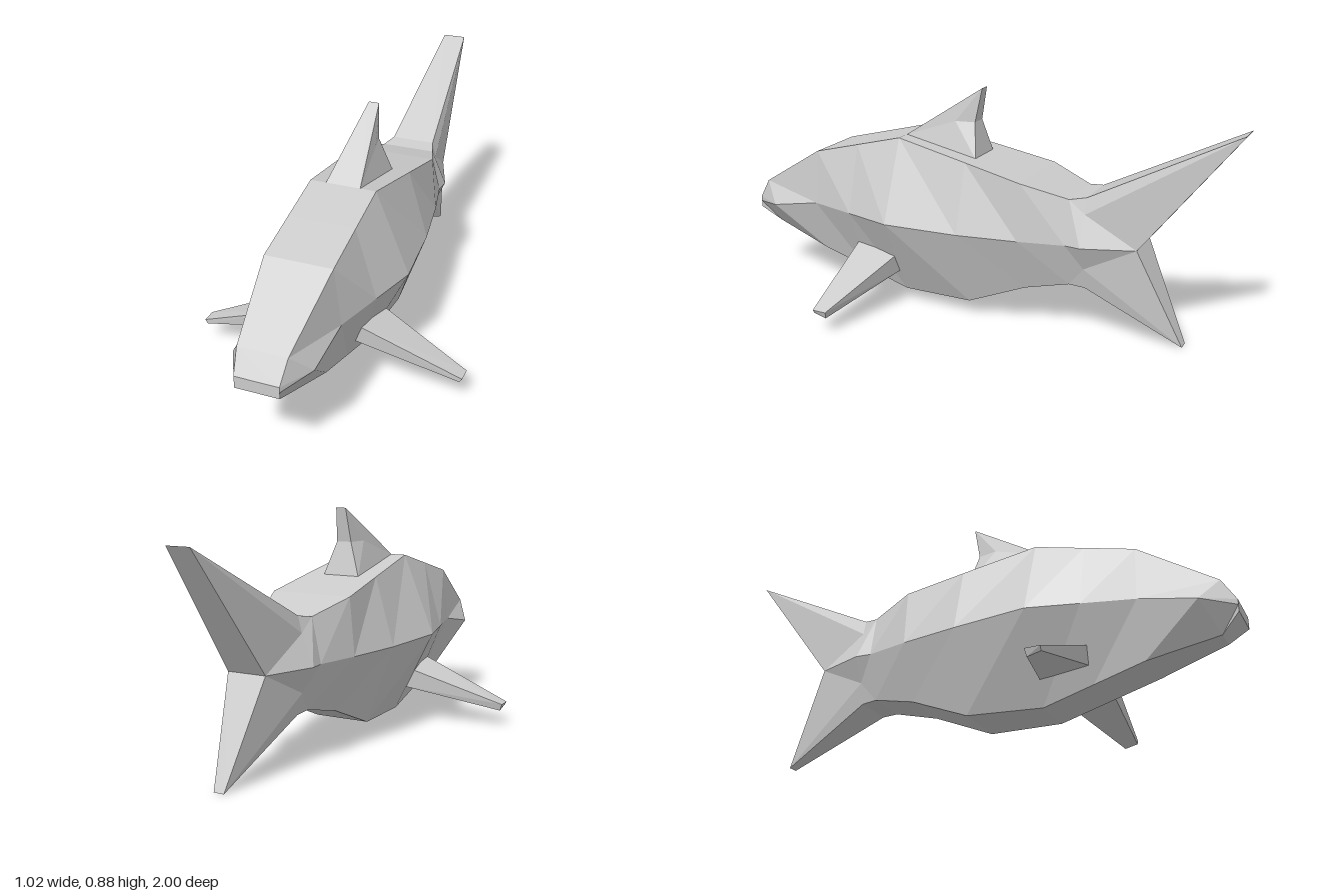
import * as THREE from 'three';
import { ConvexGeometry } from 'three/addons/geometries/ConvexGeometry.js';

const material = new THREE.MeshStandardMaterial({ color: 0xcccccc, flatShading: true, side: THREE.DoubleSide });

// Symmetric solid from its +x half. faces: corner lists of the side surface.
// seam: outline walked front > top > back > bottom, bridged across to the mirrored half.
function mirroredSolid(name, pts, faces, seam) {
  const v = pts.map(p => new THREE.Vector3(...p));
  const m = v.map(p => new THREE.Vector3(-p.x, p.y, p.z));
  const out = [];
  const tri = (a, b, c) => out.push(...a.toArray(), ...b.toArray(), ...c.toArray());
  for (const f of faces) {
    for (let i = 1; i < f.length - 1; i++) {
      let [a, b, c] = [f[0], f[i], f[i + 1]];
      const n = v[b].clone().sub(v[a]).cross(v[c].clone().sub(v[a]));
      if (n.x < 0) [b, c] = [c, b];
      tri(v[a], v[b], v[c]);
      tri(m[a], m[c], m[b]);
    }
  }
  seam.forEach((a, i) => {
    const b = seam[(i + 1) % seam.length];
    tri(v[a], v[b], m[b]);
    tri(v[a], m[b], m[a]);
  });
  const geo = new THREE.BufferGeometry();
  geo.setAttribute('position', new THREE.Float32BufferAttribute(out, 3));
  geo.computeVertexNormals();
  const mesh = new THREE.Mesh(geo, material);
  mesh.name = name;
  return mesh;
}

// Hexagonal body: each station has a top, middle and bottom corner
function makeBody() {
  const stations = [
    [[0.08, 0.33, 1], [0.08, 0.31, 1], [0.08, 0.285, 1]],
    [[0.09, 0.41, 0.95], [0.145, 0.33, 0.88], [0.045, 0.225, 0.93]],
    [[0.125, 0.58, 0.67], [0.15, 0.37, 0.67], [0.09, 0.16, 0.67]],
    [[0.125, 0.63, 0.48], [0.2, 0.37, 0.48], [0.09, 0.105, 0.48]],
    [[0.125, 0.68, 0.29], [0.25, 0.37, 0.29], [0.09, 0.05, 0.29]],
    [[0.145, 0.625, 0], [0.22, 0.365, 0], [0.11, 0.06, 0]],
    [[0.16, 0.58, -0.23], [0.18, 0.365, -0.23], [0.1, 0.155, -0.23]],
    [[0.105, 0.53, -0.4], [0.14, 0.365, -0.4], [0.085, 0.195, -0.4]],
  ];
  const faces = [], top = [], bottom = [];
  stations.forEach((_, s) => {
    const i = s * 3;
    top.push(i);
    bottom.unshift(i + 2);
    if (s < stations.length - 1) {
      faces.push([i, i + 3, i + 4, i + 1], [i + 1, i + 4, i + 5, i + 2]);
    }
  });
  const last = (stations.length - 1) * 3 + 1;
  return mirroredSolid('body', stations.flat(), faces, [...top, last, ...bottom, 1]);
}

// Forked tail: base collar, long upper lobe, short lower lobe
function makeTail() {
  const pts = [
    [0.105, 0.53, -0.4], [0.14, 0.365, -0.4], [0.085, 0.195, -0.4],       // 0-2 collar front
    [0.085, 0.54, -0.46], [0.1, 0.48, -0.46], [0.145, 0.365, -0.46],      // 3-5 collar back, upper
    [0.1, 0.27, -0.46], [0.08, 0.19, -0.46],                             // 6-7 collar back, lower
    [0.075, 0.365, -0.65], [0.045, 0.82, -1], [0.02, 0, -0.82],          // 8-10 notch and tips
  ];
  const faces = [
    [0, 3, 4], [0, 4, 5, 1], [1, 5, 6], [1, 6, 2], [2, 6, 7],
    [3, 9, 4], [4, 9, 8], [4, 8, 5],
    [5, 8, 6], [6, 8, 10], [6, 10, 7],
  ];
  return mirroredSolid('tail', pts, faces, [0, 3, 9, 8, 10, 7, 2, 1]);
}

// Dorsal fin with a hollowed trailing side
function makeDorsalFin() {
  const pts = [
    [0.065, 0.68, 0.29], [0.02, 0.88, -0.01], [0.045, 0.75, 0.09],
    [0.03, 0.75, 0.015], [0.075, 0.62, -0.01],
  ];
  return mirroredSolid('dorsalFin', pts,
    [[0, 1, 2], [0, 2, 4], [1, 3, 2], [2, 3, 4]], [0, 1, 3, 4]);
}

// Tapered side fin, its root sunk slightly into the body
function makePectoralFin(side) {
  const pts = [
    [0.13, 0.24, 0.48], [0.14, 0.222, 0.29], [0.11, 0.145, 0.29], [0.1, 0.173, 0.475],
    [0.51, 0.09, 0.45], [0.51, 0.09, 0.395], [0.5, 0.063, 0.4], [0.5, 0.075, 0.45],
  ].map(([x, y, z]) => new THREE.Vector3(side * x, y, z));
  const fin = new THREE.Mesh(new ConvexGeometry(pts), material);
  fin.name = side > 0 ? 'leftPectoralFin' : 'rightPectoralFin';
  return fin;
}

export function createModel() {
  const model = new THREE.Group();
  model.name = 'shark';
  model.add(makeBody(), makeTail(), makeDorsalFin(), makePectoralFin(1), makePectoralFin(-1));
  return model;
}
